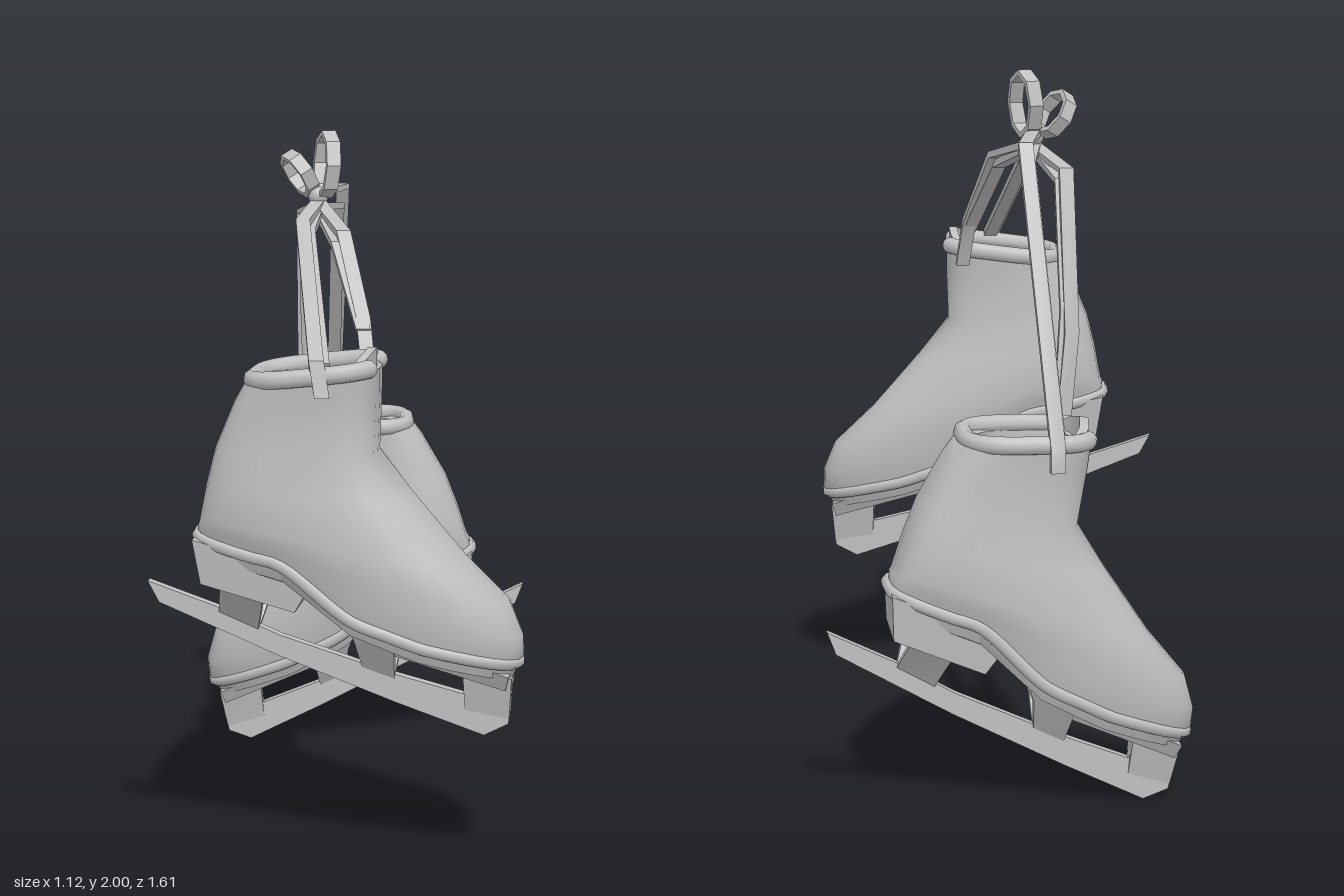
import * as THREE from 'three';
import { toCreasedNormals } from 'three/addons/utils/BufferGeometryUtils.js';

const V = (x, y, z) => new THREE.Vector3(x, y, z);
const grey = new THREE.MeshStandardMaterial({ color: 0xc0c0c0 });
grey.name = 'grey';

function part(name, geometry) {
  const mesh = new THREE.Mesh(geometry, grey);
  mesh.name = name;
  return mesh;
}

// Solid through closed rings of points, capped unless it loops; faces turned outward
function loft(rings, crease = 0.6, loop = false) {
  const tris = [], n = rings[0].length, m = rings.length;
  for (let i = 0; i < (loop ? m : m - 1); i++) {
    const a = rings[i], b = rings[(i + 1) % m];
    for (let j = 0; j < n; j++) {
      const k = (j + 1) % n;
      tris.push([a[j], b[j], b[k]], [a[j], b[k], a[k]]);
    }
  }
  const cap = (ring, flip) => {
    const c = ring.reduce((s, p) => s.add(p), V(0, 0, 0)).divideScalar(n);
    ring.forEach((p, j) => {
      const q = ring[(j + 1) % n];
      tris.push(flip ? [c, q, p] : [c, p, q]);
    });
  };
  if (!loop) { cap(rings[0], false); cap(rings[m - 1], true); }
  let volume = 0;
  for (const [a, b, c] of tris) volume += a.dot(b.clone().cross(c));
  const pts = tris.flatMap(([a, b, c]) => (volume > 0 ? [a, b, c] : [a, c, b]));
  return toCreasedNormals(new THREE.BufferGeometry().setFromPoints(pts), crease);
}

// Flat strap along points, with a fixed width vector
function strap(name, points, width, thick, loop = false) {
  const n = points.length, half = width.clone().multiplyScalar(0.5);
  const rings = points.map((p, i) => {
    const prev = points[loop ? (i + n - 1) % n : Math.max(i - 1, 0)];
    const next = points[loop ? (i + 1) % n : Math.min(i + 1, n - 1)];
    const up = next.clone().sub(prev).cross(width).setLength(thick / 2);
    return [[1, 1], [-1, 1], [-1, -1], [1, -1]].map(([s, t]) =>
      p.clone().addScaledVector(half, s).addScaledVector(up, t));
  });
  return part(name, loft(rings, 0.5, loop));
}

// Block between a top and a bottom edge: [x0, y0, x1, y1, z0, z1]
function block(name, top, bottom) {
  const ring = ([x0, y0, x1, y1, z0, z1]) => [V(x0, y0, z0), V(x1, y1, z0), V(x1, y1, z1), V(x0, y0, z1)];
  return part(name, loft([ring(top), ring(bottom)], 0.3));
}

// Height of the sole line, stepping down in front of the heel
const SOLE = [[-0.45, 0.945], [-0.12, 0.87], [-0.02, 0.755], [0.2, 0.67], [0.48, 0.6]];
function soleY(x) {
  const i = Math.min(Math.max(SOLE.findIndex((p) => x <= p[0]), 1), SOLE.length - 1);
  const [x0, y0] = SOLE[i - 1], [x1, y1] = SOLE[i];
  return y0 + ((y1 - y0) * (x - x0)) / (x1 - x0);
}

// Point on a rounded outline: back and front points, half width, front roundness, blend to sole line
function outline([xb, yb, xf, yf, w, round, k = 0, off = 0], t) {
  const c = Math.cos(t), s = Math.sin(t);
  const p = c > 0 ? round : k ? 0.5 : 0.65;
  const e = Math.sign(c) * Math.abs(c) ** p;
  const x = (xb + xf) / 2 + ((xf - xb) / 2) * e;
  const line = yb + (yf - yb) * (e + 1) / 2;
  const taper = k && e < 0 ? 1 + 0.16 * e : 1;
  return V(x, line + (soleY(x) + off - line) * k, w * taper * Math.sign(s) * Math.abs(s) ** p);
}
const N = 32;
const ringOf = (spec) => Array.from({ length: N }, (_, i) => outline(spec, (i / N) * Math.PI * 2));

function makeSkate(name) {
  const g = new THREE.Group();
  g.name = name;

  // Boot shell, from the inner floor up over the rim and down to the sole
  g.add(part('boot', loft([
    [-0.3, 1.04, 0.02, 1.04, 0.12, 0.7],
    [-0.29, 1.2, 0.02, 1.2, 0.125, 0.65],
    [-0.23, 1.37, 0.03, 1.4, 0.13, 0.6],
    [-0.25, 1.39, 0.06, 1.42, 0.15, 0.6],
    [-0.28, 1.38, 0.075, 1.41, 0.162, 0.6],
    [-0.315, 1.32, 0.075, 1.34, 0.157, 0.58],
    [-0.37, 1.19, 0.07, 1.18, 0.155, 0.6],
    [-0.395, 1.09, 0.165, 1.06, 0.172, 0.68],
    [-0.41, 1.02, 0.315, 0.93, 0.187, 0.76, 0.15],
    [-0.415, 0.99, 0.435, 0.825, 0.184, 0.82, 0.3, 0.04],
    [-0.42, 0.97, 0.472, 0.75, 0.176, 0.86, 0.6, 0.04],
    [-0.42, 0.95, 0.474, 0.68, 0.17, 0.86, 0.9, 0.02],
    [-0.42, 0.94, 0.46, 0.6, 0.162, 0.86, 1, 0],
    [-0.41, 0.94, 0.445, 0.6, 0.145, 0.86, 1, -0.04],
  ].map(ringOf), 0.75)));

  // Raised welt around the sole
  const welt = ringOf([-0.42, 0.94, 0.46, 0.6, 0.165, 0.86, 1, 0.008]);
  g.add(part('welt', new THREE.TubeGeometry(new THREE.CatmullRomCurve3(welt, true), 84, 0.018, 6, true)));

  // Padded collar, open at the front, with round ends
  const rim = Array.from({ length: 21 }, (_, i) =>
    outline([-0.265, 1.38, 0.07, 1.42, 0.15, 0.6], 0.5 + (i / 20) * (Math.PI * 2 - 1)));
  g.add(part('collar', new THREE.TubeGeometry(new THREE.CatmullRomCurve3(rim), 60, 0.026, 8)));
  for (const p of [rim[0], rim[20]]) {
    const end = part('collarEnd', new THREE.SphereGeometry(0.026, 8, 6));
    end.position.copy(p);
    g.add(end);
  }

  // Curved tongue rising between the collar ends
  const tongue = [[0.02, 1.37, -0.125], [0.045, 1.4, -0.08], [0.055, 1.415, 0], [0.045, 1.4, 0.08], [0.02, 1.37, 0.125]];
  g.add(strap('tongue', tongue.map((p) => V(...p)), V(0, 0.1, 0), 0.025));

  // Heel and forefoot plate
  g.add(block('heel', [-0.42, 0.945, -0.08, 0.86, -0.128, 0.128], [-0.4, 0.82, -0.14, 0.75, -0.115, 0.115]));
  g.add(block('frontPlate', [-0.01, 0.715, 0.44, 0.585, -0.085, 0.085], [0.02, 0.655, 0.43, 0.54, -0.06, 0.06]));

  // Blade
  const runner = new THREE.Shape([
    [-0.572, 0.8], [-0.54, 0.74], [-0.2, 0.6], [0.13, 0.48], [0.368, 0.4], [0.435, 0.435], [0.445, 0.55],
    [0.32, 0.57], [0.31, 0.515], [0.13, 0.56], [0.03, 0.59], [-0.2, 0.66], [-0.38, 0.735],
  ].map(([x, y]) => new THREE.Vector2(x, y)));
  const blade = new THREE.ExtrudeGeometry(runner, { depth: 0.03, bevelEnabled: false });
  g.add(part('blade', blade.translate(0, 0, -0.015)));

  // Splayed blade supports in pairs, and a solid one under the toe
  for (const s of [-1, 1]) {
    const leg = (top, bottom) => g.add(block('bladeSupport',
      [...top, 0.07 * s, 0.1 * s], [...bottom, 0, 0.018 * s]));
    leg([-0.35, 0.815, -0.23, 0.785], [-0.37, 0.72, -0.26, 0.675]);
    leg([0.0, 0.735, 0.13, 0.68], [0.03, 0.58, 0.12, 0.55]);
  }
  g.add(block('toeSupport', [0.31, 0.6, 0.445, 0.57, -0.045, 0.045], [0.315, 0.47, 0.437, 0.45, -0.017, 0.017]));
  return g;
}

export function createModel() {
  const model = new THREE.Group();
  model.name = 'hangingIceSkates';

  const upper = makeSkate('upperSkate');
  upper.rotation.y = -0.157;
  upper.position.z = 0.595;
  const lower = makeSkate('lowerSkate');
  lower.rotation.set(0, Math.PI, -0.129);
  lower.position.set(0.085, -0.35, -0.63);
  model.add(upper, lower);

  // Laces from the knot to each side of both collars
  const laces = new THREE.Group();
  laces.name = 'laces';
  const paths = [
    [[-0.1, 1.79, -0.09], [-0.14, 1.76, 0.19], [-0.095, 1.44, 0.745], [-0.08, 1.35, 0.76]],
    [[-0.1, 1.78, -0.09], [-0.125, 1.735, 0.2], [-0.08, 1.43, 0.72]],
    [[-0.1, 1.79, -0.09], [-0.025, 1.73, 0.2], [0.03, 1.51, 0.38], [0.045, 1.37, 0.43]],
    [[-0.1, 1.78, -0.09], [-0.04, 1.7, 0.22], [0.03, 1.48, 0.4]],
    [[-0.1, 1.82, -0.09], [-0.03, 1.815, -0.4], [-0.06, 1.04, -0.805], [-0.06, 0.98, -0.805]],
    [[-0.1, 1.78, -0.09], [-0.045, 1.76, -0.35], [-0.065, 1.03, -0.79]],
    [[-0.1, 1.78, -0.09], [-0.15, 1.74, -0.36], [-0.15, 1.3, -0.47], [-0.125, 1.0, -0.46]],
    [[-0.1, 1.78, -0.09], [-0.14, 1.71, -0.34], [-0.14, 1.36, -0.45], [-0.12, 1.05, -0.465]],
  ];
  for (const path of paths) laces.add(strap('lace', path.map((p) => V(...p)), V(0.04, 0, 0), 0.022));

  // Knot and bow loops
  const knot = part('knot', new THREE.SphereGeometry(0.03, 8, 6));
  knot.position.set(-0.1, 1.81, -0.09);
  laces.add(knot);
  const bow = (center, a, b, width) => {
    const pts = Array.from({ length: 8 }, (_, i) => {
      const t = (i / 8) * Math.PI * 2;
      return center.clone().addScaledVector(a, Math.cos(t)).addScaledVector(b, Math.sin(t));
    });
    laces.add(strap('bowLoop', pts, width, 0.016, true));
  };
  bow(V(-0.075, 1.903, -0.09), V(0.005, 0.09, -0.01), V(0.02, 0, 0.07), V(0.04, 0, -0.012));
  bow(V(-0.155, 1.875, -0.11), V(-0.035, 0.055, 0), V(0.02, 0.01, 0.06), V(0.032, 0.02, -0.01));
  model.add(laces);
  return model;
}
